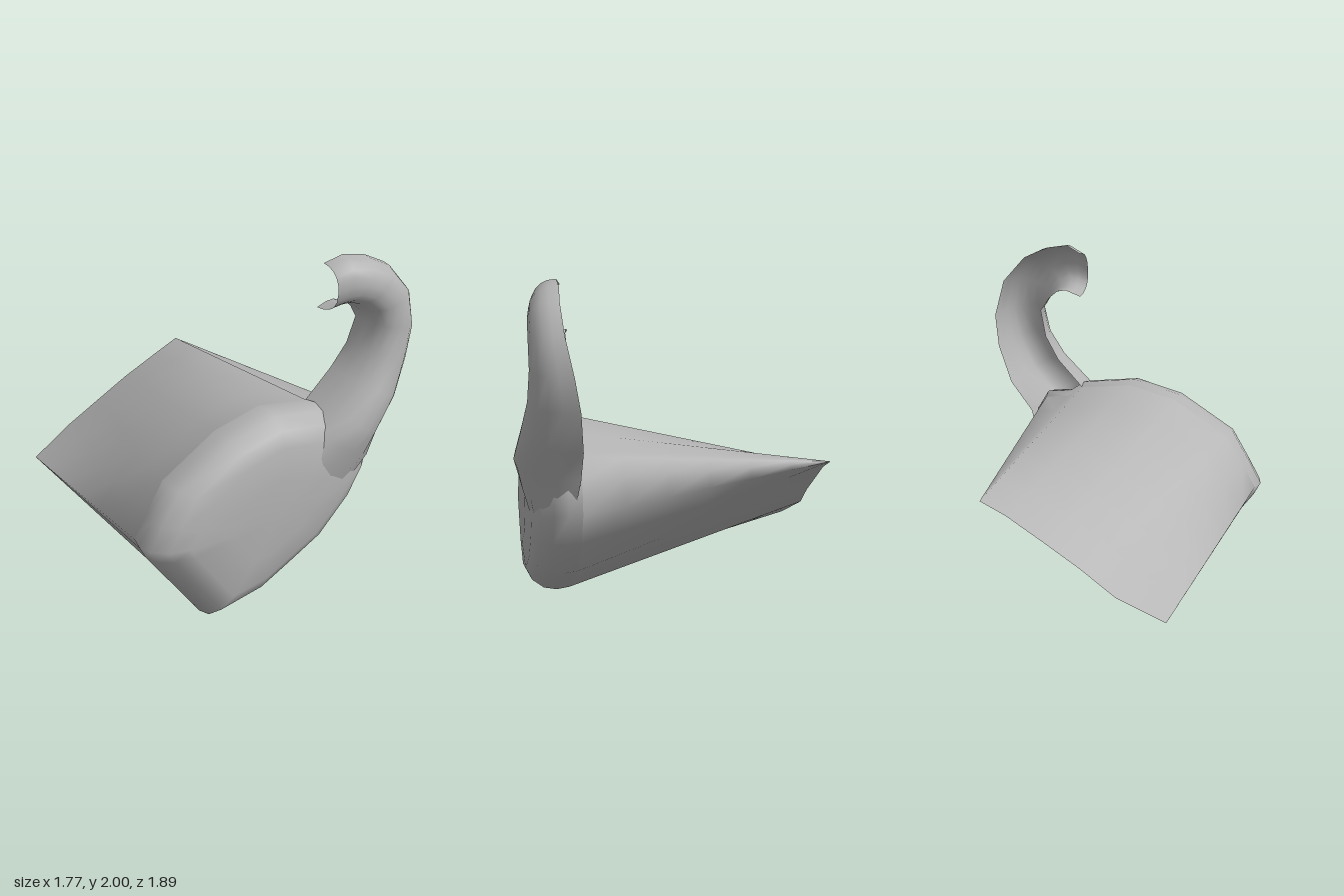
import * as THREE from 'three';

// Skin a grid of rows (each an array of [x, y, z]) with smooth normals
function loft(rows, closed) {
  const n = rows[0].length;
  const index = [];
  for (let r = 0; r < rows.length - 1; r++) {
    for (let i = 0; i < (closed ? n : n - 1); i++) {
      const j = (i + 1) % n;
      const a = r * n + i, b = r * n + j, c = a + n, d = b + n;
      index.push(a, c, b, b, c, d);
    }
  }
  const geo = new THREE.BufferGeometry();
  geo.setAttribute('position', new THREE.Float32BufferAttribute(rows.flat(2), 3));
  geo.setIndex(index);
  geo.computeVertexNormals();
  return geo;
}

export function createModel() {
  const group = new THREE.Group();
  const grey = new THREE.MeshStandardMaterial({ color: 0xb3b3b3, side: THREE.DoubleSide });
  grey.name = 'plain grey';
  const add = (name, geo) => {
    const mesh = new THREE.Mesh(geo, grey);
    mesh.name = name;
    group.add(mesh);
  };

  // Body outline (x, y), each point paired with its place on the thin rear edge
  const corner = [0.35, 0.915, -0.9];
  const tail = [-0.72, 0.35, -0.9];
  const stations = [
    [0.38, 1.06, corner],
    [0.28, 1.13, corner],
    [-0.05, 1.18, [0.2, 0.85, -0.9]],
    [-0.35, 1.11, [-0.03, 0.73, -0.92]],
    [-0.7, 0.9, [-0.24, 0.61, -0.93]],
    [-0.81, 0.72, [-0.45, 0.48, -0.95]],
    [-0.89, 0.58, tail],
    [-0.85, 0.5, tail],
    [-0.5, 0.005, tail],
    [-0.18, 0.06, [-0.45, 0.48, -0.95]],
    [0.05, 0.175, [-0.24, 0.61, -0.93]],
    [0.29, 0.3, [-0.03, 0.73, -0.92]],
    [0.52, 0.53, [0.2, 0.85, -0.9]],
    [0.63, 0.72, corner],
    [0.6, 0.92, corner],
    [0.53, 1.04, corner],
  ];
  const cx = -0.12, cy = 0.6;
  const ring = (s, z) => stations.map(([x, y]) => [cx + (x - cx) * s, cy + (y - cy) * s, z]);

  // Rear hull: straight skin from the rim to the rear edge
  const rim = ring(0.975, 0.58);
  const hull = [];
  for (let k = 0; k <= 6; k++) {
    const t = k / 6;
    hull.push(rim.map((p, i) => p.map((v, a) => stations[i][2][a] * (1 - t) + v * t)));
  }
  add('rearHull', loft(hull, true));

  // Front dome: rings closing towards the middle of the face
  add('frontDome', loft([
    rim, ring(1, 0.66), ring(0.97, 0.74), ring(0.87, 0.81), ring(0.72, 0.85),
    ring(0.4, 0.87), ring(0.001, 0.87),
  ], true));

  // Curled neck: a channel open at the back
  // inner x, y, back z, outer x, y, back z, front z
  const sections = [
    [0.0, 0.88, 0.66, 0.46, 0.54, 0.66, 0.85],
    [0.16, 1.02, 0.62, 0.6, 0.76, 0.62, 0.91],
    [0.28, 1.12, 0.59, 0.62, 0.92, 0.59, 0.945],
    [0.44, 1.28, 0.6, 0.76, 1.1, 0.59, 0.915],
    [0.53, 1.42, 0.62, 0.85, 1.33, 0.61, 0.88],
    [0.57, 1.58, 0.64, 0.885, 1.52, 0.645, 0.87],
    [0.52, 1.66, 0.65, 0.84, 1.74, 0.69, 0.87],
    [0.46, 1.71, 0.65, 0.7, 1.9, 0.7, 0.865],
    [0.4, 1.725, 0.64, 0.56, 1.97, 0.69, 0.85],
    [0.36, 1.715, 0.63, 0.41, 2.0, 0.69, 0.83],
    [0.3, 1.695, 0.63, 0.31, 1.96, 0.66, 0.8],
  ];
  const steps = 10;
  add('curledNeck', loft(sections.map(([ix, iy, iz, ox, oy, oz, front]) => {
    const row = [];
    for (let k = 0; k <= steps; k++) {
      const a = (Math.PI * k) / steps;
      const c = Math.cos(a);
      const w = 0.5 - 0.5 * Math.sign(c) * Math.abs(c) ** 0.85;
      const back = iz + (oz - iz) * w;
      row.push([ix + (ox - ix) * w, iy + (oy - iy) * w, back + (front - back) * Math.sin(a) ** 0.9]);
    }
    return row;
  }).reverse(), false));

  return group;
}
